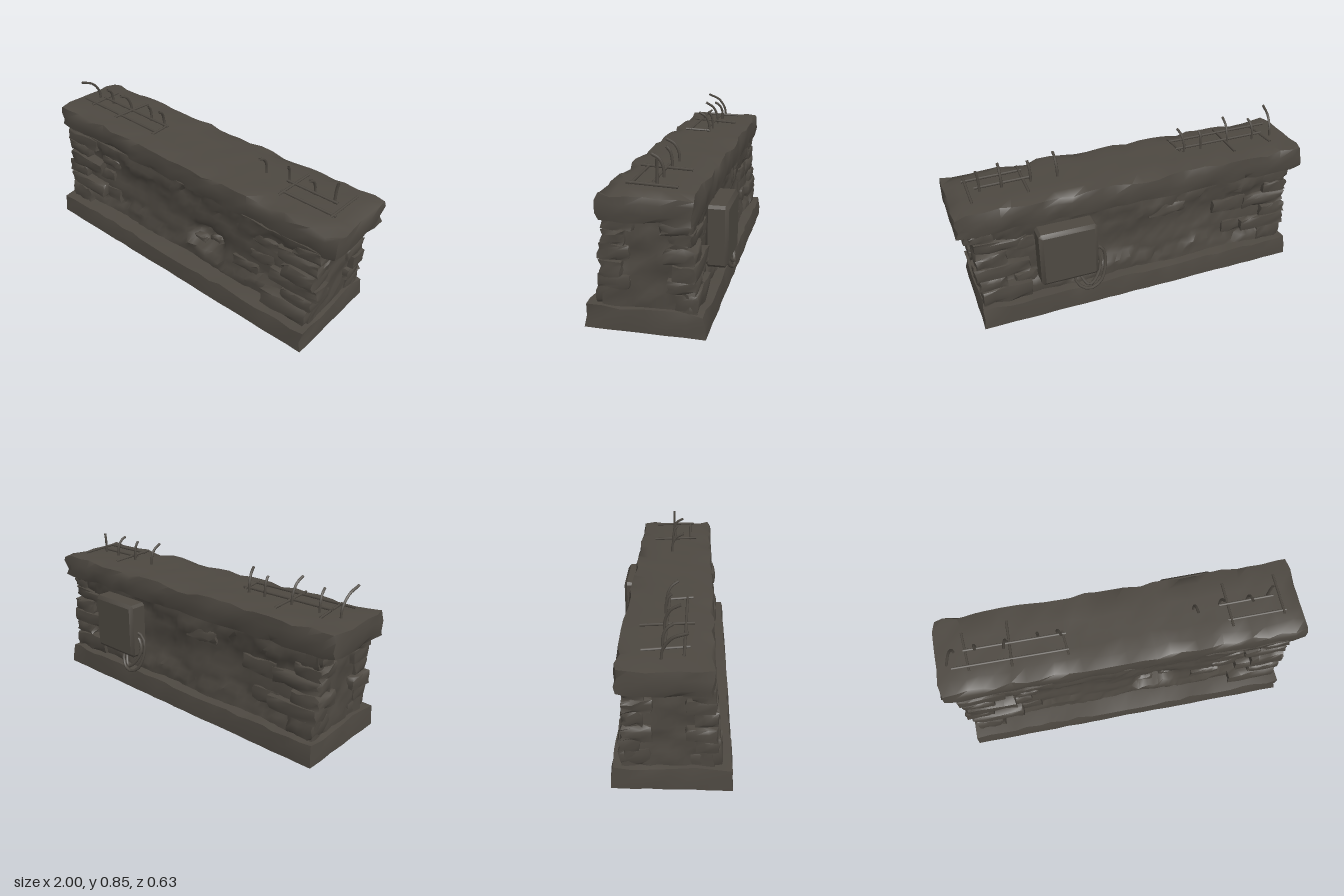
import * as THREE from 'three';
import { mergeVertices, toCreasedNormals } from 'three/addons/utils/BufferGeometryUtils.js';

// Repeatable random numbers
function seeded(seed) {
  let s = seed * 7919 + 17;
  return () => {
    s = (s * 16807) % 2147483647;
    return s / 2147483647;
  };
}

// Block with worn faces and chipped edges; always stays inside its bounds
function wornBlock([x0, x1], [y0, y1], [z0, z1], segs, seed, chip, rough, shape) {
  const size = [x1 - x0, y1 - y0, z1 - z0];
  let geo = new THREE.BoxGeometry(...size, ...segs);
  geo.deleteAttribute('normal');
  geo.deleteAttribute('uv');
  geo.clearGroups();
  geo = mergeVertices(geo, 1e-5);
  const rand = seeded(seed);
  const pos = geo.attributes.position;
  const mid = [(x0 + x1) / 2, (y0 + y1) / 2, (z0 + z1) / 2];
  for (let i = 0; i < pos.count; i++) {
    const p = [pos.getX(i), pos.getY(i), pos.getZ(i)];
    const outer = p.map((v, a) => Math.abs(Math.abs(v) - size[a] / 2) < 1e-4);
    const onEdge = outer.filter(Boolean).length > 1;
    const floor = y0 === 0 && outer[1] && p[1] < 0;
    for (let a = 0; a < 3; a++) {
      const r = rand();
      if (outer[a]) {
        if (floor && a === 1) continue;
        const depth = onEdge && !floor ? chip * (0.2 + 0.8 * r * r) : rough * r;
        p[a] -= Math.sign(p[a]) * depth;
      } else {
        p[a] += (r - 0.5) * 0.35 * size[a] / segs[a];
      }
    }
    const v = new THREE.Vector3(p[0] + mid[0], p[1] + mid[1], p[2] + mid[2]);
    if (shape) shape(v);
    pos.setXYZ(i, v.x, v.y, v.z);
  }
  return toCreasedNormals(geo, 1.0);
}

// Broken plaster: overhang below the cap, uneven faces and a hole at the front
function plaster(v) {
  const side = Math.sign(v.z);
  if (Math.abs(v.z) > 0.15) {
    const ragged = 0.5 + 0.03 * Math.sin(v.x * 9 + side) + 0.02 * Math.sin(v.x * 23);
    if (v.y > ragged) v.z += side * 0.02;
    v.z -= side * 0.012 * (1 + Math.sin(v.x * 7 + v.y * 11) * Math.sin(v.y * 17 - v.x * 4));
    if (v.y < 0.19 + 0.025 * Math.sin(v.x * 13)) v.z += side * 0.025;
    if (side > 0) {
      const d = Math.hypot((v.x - 0.18) / 0.14, (v.y - 0.27) / 0.075);
      if (d < 1) v.z -= 0.06 * Math.min(1, (1 - d) * 2.5);
    }
  } else if (Math.abs(v.x) > 0.85) {
    v.x -= Math.sign(v.x) * 0.008 * (1 + Math.sin(v.y * 31) * Math.sin(v.z * 17 + v.y * 9));
  }
}

export function createModel() {
  const model = new THREE.Group();
  const concrete = new THREE.MeshStandardMaterial({ color: 0x4d4841, side: THREE.DoubleSide });
  concrete.name = 'dark concrete';

  function add(name, geometry, parent = model) {
    const mesh = new THREE.Mesh(geometry, concrete);
    mesh.name = name;
    parent.add(mesh);
  }
  function group(name) {
    const g = new THREE.Group();
    g.name = name;
    model.add(g);
    return g;
  }
  function rod(name, points, radius, parent) {
    const curve = new THREE.CatmullRomCurve3(points.map(p => new THREE.Vector3(...p)));
    add(name, new THREE.TubeGeometry(curve, points.length > 2 ? 14 : 1, radius, 6), parent);
  }

  // Footing, wall and cap slab
  add('base', wornBlock([-0.936, 0.926], [0, 0.125], [-0.276, 0.316], [24, 2, 6], 3, 0.02, 0.005));
  add('wall', wornBlock([-0.91, 0.91], [0.1, 0.58], [-0.207, 0.207], [56, 14, 10], 5, 0.01, 0.01, plaster));
  add('cap', wornBlock([-1.003, 1.003], [0.557, 0.704], [-0.238, 0.218], [26, 3, 6], 8, 0.025, 0.006));

  // Stacked corner stones, alternating long and short
  const stones = group('cornerStones');
  const rows = [0.115, 0.21, 0.28, 0.35, 0.43, 0.5, 0.565];
  const reachX = [0.912, 0.928, 0.942, 0.925, 0.932, 0.94];
  const reachFront = [0.268, 0.256, 0.242, 0.25, 0.236, 0.23];
  const reachBack = [0.248, 0.24, 0.237, 0.232, 0.224, 0.22];
  const rand = seeded(21);
  for (const sx of [-1, 1]) {
    for (const sz of [-1, 1]) {
      for (let r = 0; r < 6; r++) {
        const outX = reachX[r] - rand() * 0.01;
        const outZ = (sz > 0 ? reachFront : reachBack)[r] - rand() * 0.01;
        const long = (r + (sx > 0 ? 1 : 0)) % 2;
        const inX = outX - (long ? 0.25 : 0.15) - rand() * 0.06;
        const inZ = outZ - (long ? 0.11 : 0.15) - rand() * 0.02;
        const xs = sx > 0 ? [inX, outX] : [-outX, -inX];
        const zs = sz > 0 ? [inZ, outZ] : [-outZ, -inZ];
        const ys = [rows[r] - 0.004 - rand() * 0.008, rows[r + 1] + 0.004 + rand() * 0.008];
        add('cornerStone', wornBlock(xs, ys, zs, [4, 3, 3], 40 + stones.children.length, 0.02, 0.007), stones);
      }
    }
  }

  // Exposed stones: x, y, width, height, side
  const exposed = group('exposedStones');
  [
    [-0.62, 0.36, 0.16, 0.08, 1], [-0.6, 0.24, 0.2, 0.09, 1], [-0.57, 0.46, 0.16, 0.07, 1],
    [0.47, 0.25, 0.18, 0.08, 1], [0.58, 0.36, 0.16, 0.08, 1], [0.6, 0.47, 0.18, 0.07, 1],
    [0.24, 0.28, 0.09, 0.05, 1], [0.12, 0.23, 0.1, 0.05, 1],
    [-0.6, 0.25, 0.18, 0.09, -1], [-0.55, 0.4, 0.22, 0.1, -1], [-0.15, 0.46, 0.24, 0.08, -1],
    [0.66, 0.45, 0.12, 0.08, -1], [0.66, 0.22, 0.14, 0.09, -1]
  ].forEach(([x, y, w, h, s], i) => {
    const inHole = w < 0.11;
    const out = inHole ? 0.175 : 0.212;
    add('exposedStone', wornBlock([x - w / 2, x + w / 2], [y - h / 2, y + h / 2],
      s > 0 ? [0.12, out] : [-out, -0.12], [4, 3, 2], 90 + i, 0.018, 0.006), exposed);
  });

  // Utility box on the back with chamfered front edges
  const box = group('utilityBox');
  const profile = new THREE.Shape();
  [[0.284, 0.235], [0.298, 0.22], [0.588, 0.22], [0.602, 0.235], [0.602, 0.525], [0.588, 0.54],
    [0.298, 0.54], [0.284, 0.525]].forEach(([x, y], i) => (i ? profile.lineTo(x, y) : profile.moveTo(x, y)));
  const shell = new THREE.ExtrudeGeometry(profile, {
    depth: 0.085, bevelEnabled: true, bevelThickness: 0.016, bevelSize: 0.02, bevelOffset: -0.02, bevelSegments: 1
  });
  shell.translate(0, 0, -0.298);
  add('boxShell', toCreasedNormals(shell, 0.6), box);

  // Cables looping from the side of the box to its underside
  for (const k of [0, 1]) {
    const d = k * 0.028;
    rod('cable', [
      [0.3, 0.37 - d, -0.265], [0.25 + d, 0.35 - d, -0.262], [0.235 + d, 0.26, -0.268],
      [0.27 + d, 0.155 + d, -0.292], [0.34, 0.125 + d, -0.302],
      [0.4 - d, 0.16 + d, -0.285], [0.42 - d, 0.25, -0.26]
    ], 0.009, box);
  }

  // Reinforcing bars lying on the cap
  const bars = group('reinforcingBars');
  [
    [[-0.91, 0.73, 0.075], [-0.29, 0.722, 0.08]],
    [[-0.84, 0.725, -0.015], [-0.29, 0.72, -0.012]],
    [[-0.84, 0.715, -0.12], [-0.82, 0.725, 0.1]],
    [[-0.595, 0.712, -0.145], [-0.595, 0.728, 0.12]],
    [[-0.31, 0.715, -0.03], [-0.295, 0.722, 0.11]],
    [[0.58, 0.72, 0.08], [0.9, 0.715, 0.078]],
    [[0.55, 0.722, -0.012], [0.85, 0.718, -0.015]],
    [[0.595, 0.712, -0.14], [0.595, 0.724, 0.12]],
    [[0.885, 0.71, -0.14], [0.885, 0.72, 0.1]]
  ].forEach(p => rod('flatBar', p, 0.007, bars));

  // Upright bars: x, height, lean in x, lean in z
  [
    [-0.895, 0.84, -0.015, 0.12], [-0.775, 0.81, 0.01, 0.05], [-0.61, 0.832, -0.005, 0.08],
    [-0.44, 0.805, 0.005, 0.03], [-0.335, 0.822, 0.02, 0.06],
    [0.41, 0.815, 0, 0.07], [0.555, 0.812, 0.005, 0.03], [0.71, 0.81, 0, 0.06], [0.825, 0.82, 0.008, 0]
  ].forEach(([x, top, dx, dz]) => {
    const z = -0.027;
    rod('uprightBar', [
      [x, 0.69, z], [x, 0.75, z + dz * 0.06],
      [x + dx * 0.4, 0.75 + (top - 0.75) * 0.65, z + dz * 0.4], [x + dx, top, z + dz]
    ], 0.0075, bars);
  });

  return model;
}
